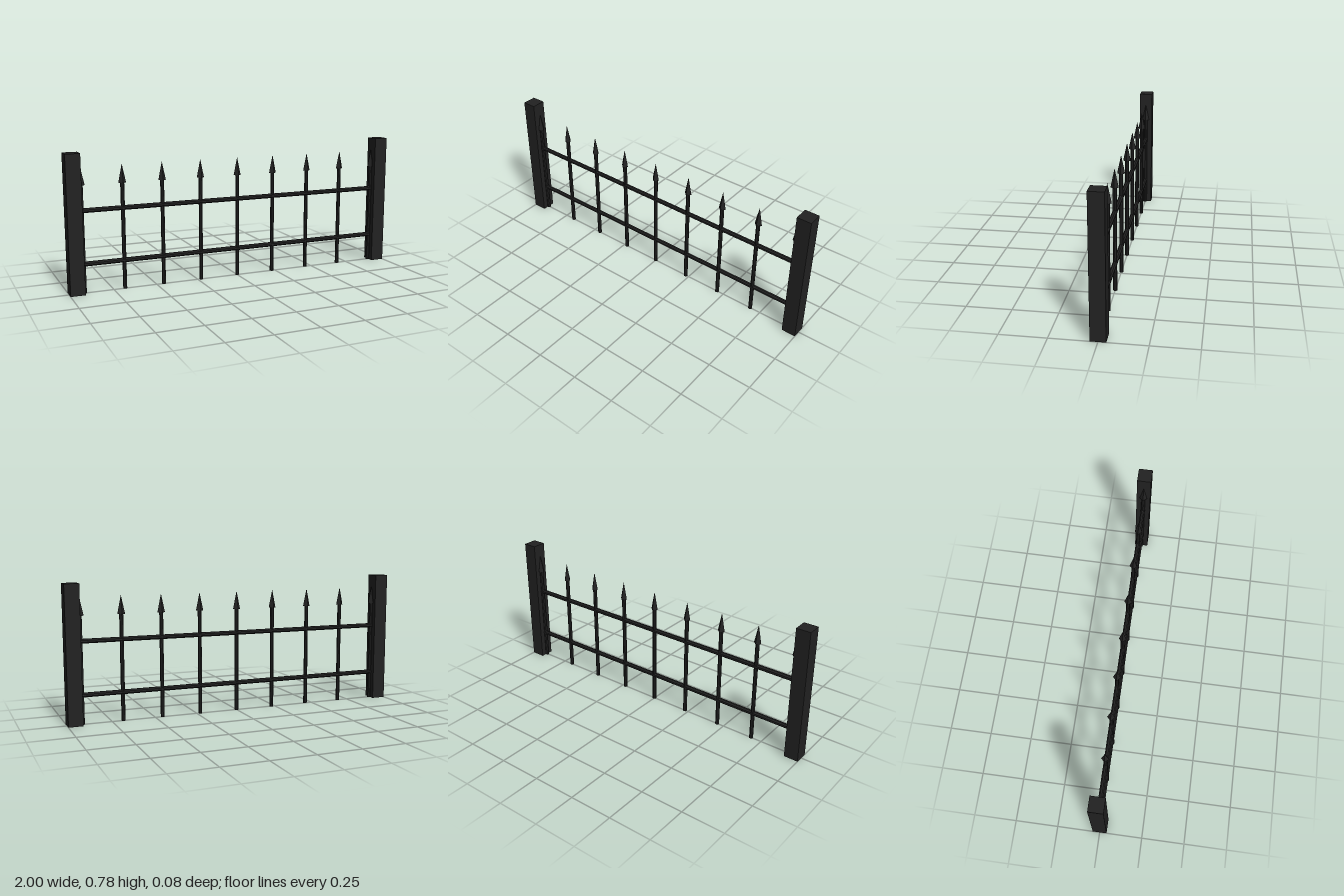
import * as THREE from 'three';

export function createModel() {
  const fence = new THREE.Group();
  fence.name = 'ironFence';

  const iron = new THREE.MeshStandardMaterial({ color: 0x222222, flatShading: true });
  iron.name = 'blackIron';

  const add = (name, geometry, x, y) => {
    const mesh = new THREE.Mesh(geometry, iron);
    mesh.name = name;
    mesh.position.set(x, y, 0);
    fence.add(mesh);
  };

  // Square end posts
  const post = new THREE.BoxGeometry(0.082, 0.776, 0.082);
  add('leftPost', post, 0.959, 0.388);
  add('rightPost', post, -0.959, 0.388);

  // Horizontal rails
  const rail = new THREE.CylinderGeometry(0.0135, 0.0135, 1.86, 8).rotateY(Math.PI / 8).rotateZ(Math.PI / 2);
  add('lowerRail', rail, 0, 0.164);
  add('upperRail', rail, 0, 0.461);

  // Upright bars, each with a pointed four-sided tip; the end ones sink into the posts
  const bar = new THREE.CylinderGeometry(0.0115, 0.0115, 0.605, 8);
  const tip = new THREE.ConeGeometry(0.022, 0.105, 4);
  for (let i = -4; i <= 4; i++) {
    const x = i * 0.2285;
    add('bar', bar, x, 0.3025);
    add('spearTip', tip, x, 0.6525);
  }

  return fence;
}
